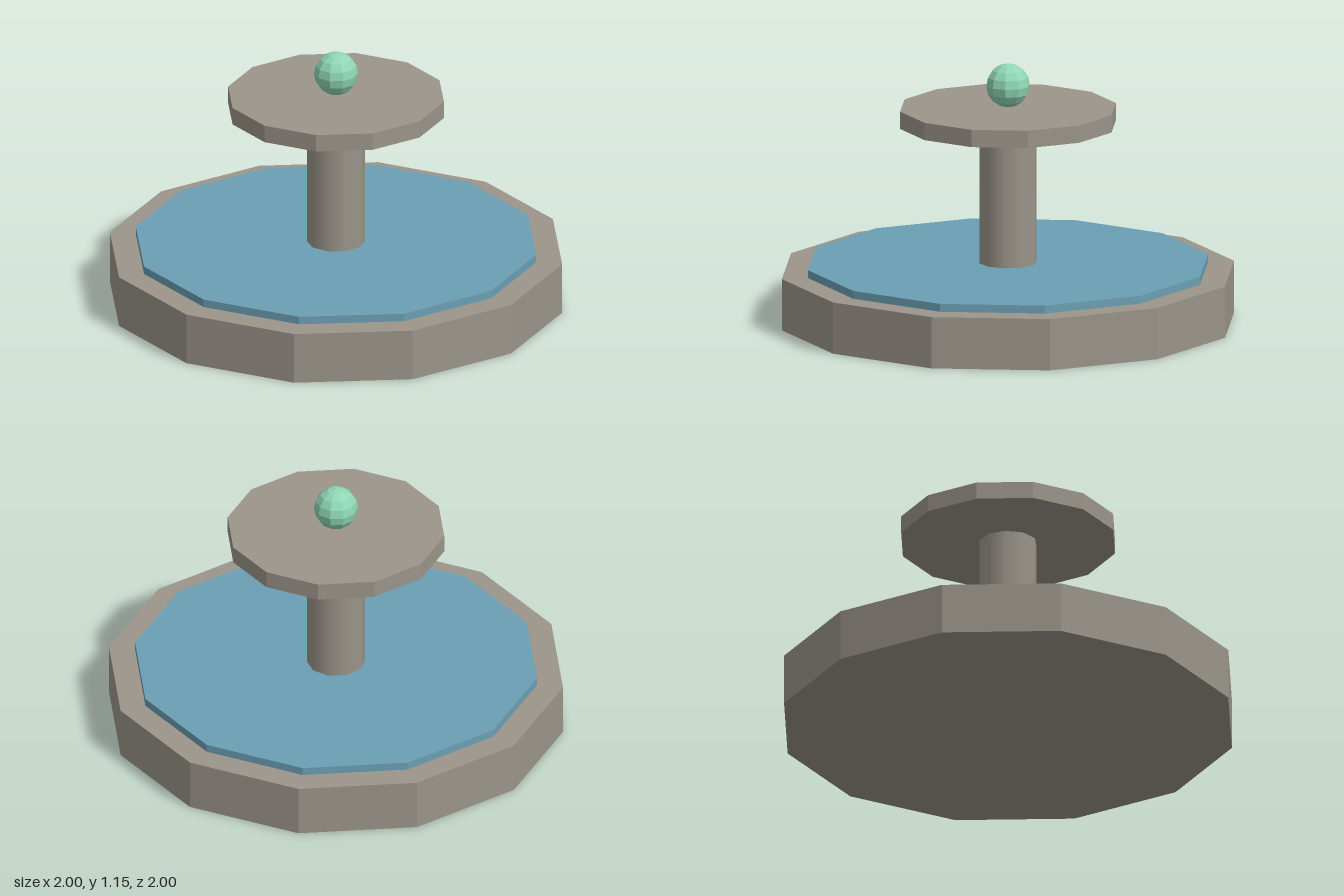
import * as THREE from 'three';

export function createModel() {
  const model = new THREE.Group();
  const material = (name, color) => {
    const m = new THREE.MeshStandardMaterial({ color });
    m.name = name;
    return m;
  };
  const stone = material('stone', 0x9b958a);
  const water = material('water', 0x6b9fb3);
  const jade = material('jade', 0x8fd6b5);

  // Gives every face its own flat normal
  const faceted = (geometry) => {
    const g = geometry.toNonIndexed();
    g.computeVertexNormals();
    return g;
  };
  const add = (name, geometry, mat, y) => {
    const mesh = new THREE.Mesh(geometry, mat);
    mesh.name = name;
    mesh.position.y = y;
    model.add(mesh);
    return mesh;
  };
  // Twelve-sided slab from y0 to y1
  const slab = (name, radius, y0, y1, mat) =>
    add(name, faceted(new THREE.CylinderGeometry(radius, radius, y1 - y0, 12)), mat, (y0 + y1) / 2);

  slab('basin', 1, 0, 0.228, stone);
  slab('waterSurface', 0.885, 0.19, 0.263, water);

  // Smooth ten-sided pillar
  add('pillar', new THREE.CylinderGeometry(0.127, 0.127, 0.7, 10), stone, 0.54);

  slab('upperDish', 0.477, 0.875, 0.952, stone);

  // Faceted ball on top
  const ball = add('finial', faceted(new THREE.SphereGeometry(0.096, 10, 8)), jade, 1.05);
  ball.rotation.y = Math.PI / 2;

  return model;
}
